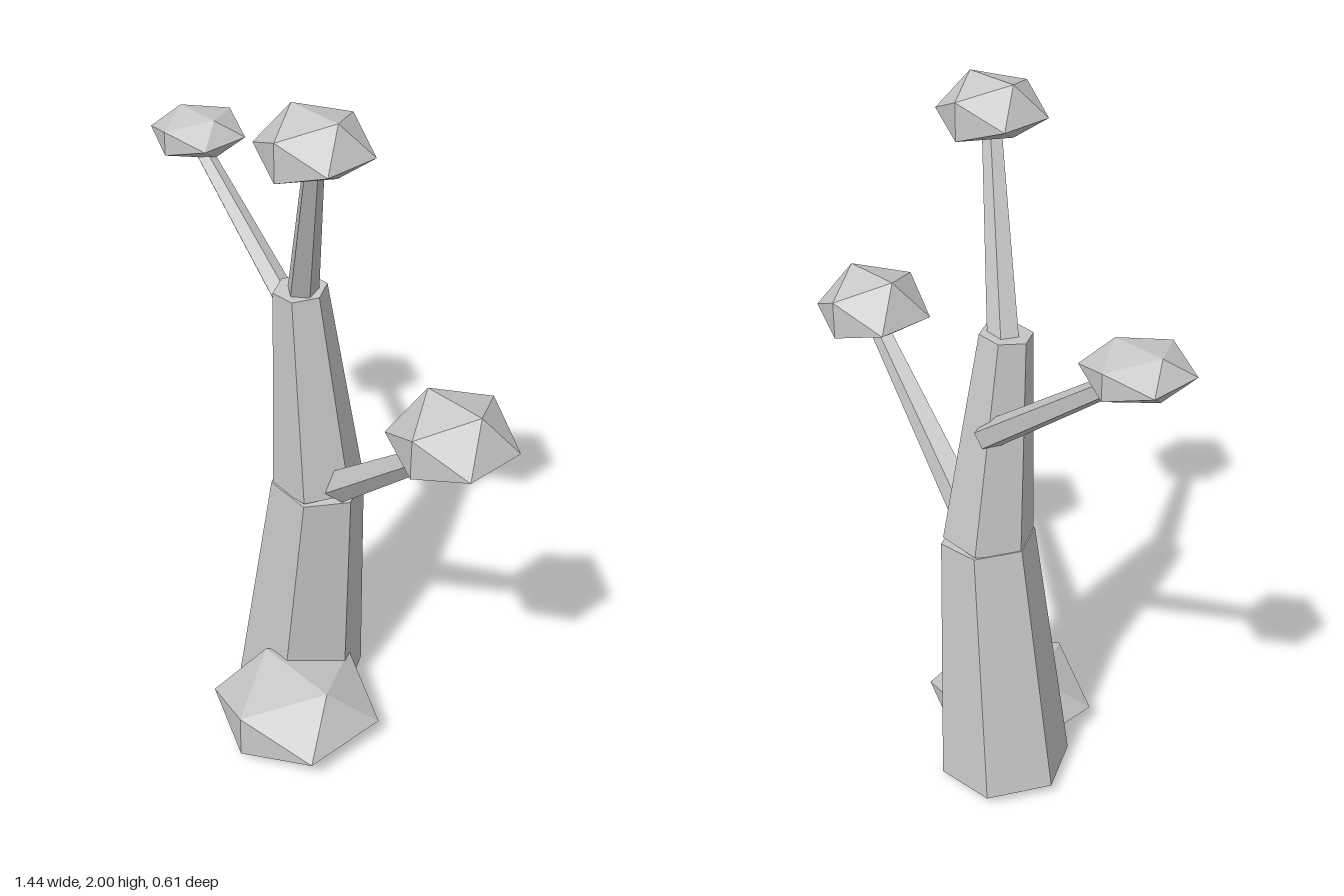
import * as THREE from 'three';

const UP = new THREE.Vector3(0, 1, 0);

export function createModel() {
  const tree = new THREE.Group();
  tree.name = 'tree';
  const grey = new THREE.MeshStandardMaterial({ color: 0xc8c8c8, flatShading: true });
  grey.name = 'plain grey';

  const add = (name, geometry) => {
    const mesh = new THREE.Mesh(geometry, grey);
    mesh.name = name;
    tree.add(mesh);
    return mesh;
  };

  // Tapered prism running from point a to point b
  const limb = (name, a, b, r0, r1, sides, turn = 0) => {
    const start = new THREE.Vector3(...a);
    const end = new THREE.Vector3(...b);
    const axis = end.clone().sub(start);
    const geometry = new THREE.CylinderGeometry(r1, r0, axis.length(), sides);
    geometry.rotateY(turn);
    const mesh = add(name, geometry);
    mesh.position.copy(start).add(end).multiplyScalar(0.5);
    mesh.quaternion.setFromUnitVectors(UP, axis.normalize());
  };

  // Squashed icosahedron with its underside cut flat at height floor
  const clump = (name, [x, y, z], width, depth, top, floor) => {
    const geometry = new THREE.IcosahedronGeometry(1, 0);
    const p = geometry.attributes.position;
    const reach = 0.8507; // widest coordinate of a unit icosahedron
    geometry.scale(width / reach, (top - y) / reach, depth / reach);
    for (let i = 0; i < p.count; i++) p.setY(i, Math.max(p.getY(i), floor - y));
    geometry.computeVertexNormals();
    add(name, geometry).position.set(x, y, z);
  };

  // Trunk in two leaning hexagonal sections
  limb('lowerTrunk', [-0.06, 0.022, -0.08], [0.013, 0.78, -0.075], 0.19, 0.133, 6, Math.PI / 6);
  limb('upperTrunk', [0.012, 0.785, -0.075], [-0.013, 1.4, -0.03], 0.128, 0.073, 6, Math.PI / 6);

  // Branches
  limb('topBranch', [-0.01, 1.38, -0.035], [0.185, 1.89, 0.11], 0.044, 0.026, 5);
  limb('leftBranch', [0.105, 0.81, -0.065], [0.575, 1.22, 0.012], 0.049, 0.028, 5);
  limb('rightBranch', [-0.03, 1.135, -0.115], [-0.6, 1.57, -0.175], 0.04, 0.024, 5);

  // Leaf clumps at the branch tips, and the stone at the foot
  clump('topLeaves', [0.18, 1.907, 0.105], 0.128, 0.125, 2.0, 1.862);
  clump('leftLeaves', [0.575, 1.238, 0.01], 0.143, 0.143, 1.355, 1.2);
  clump('rightLeaves', [-0.605, 1.585, -0.187], 0.117, 0.118, 1.642, 1.53);
  clump('footStone', [0.1, 0.075, 0.088], 0.212, 0.215, 0.208, 0.022);

  return tree;
}
